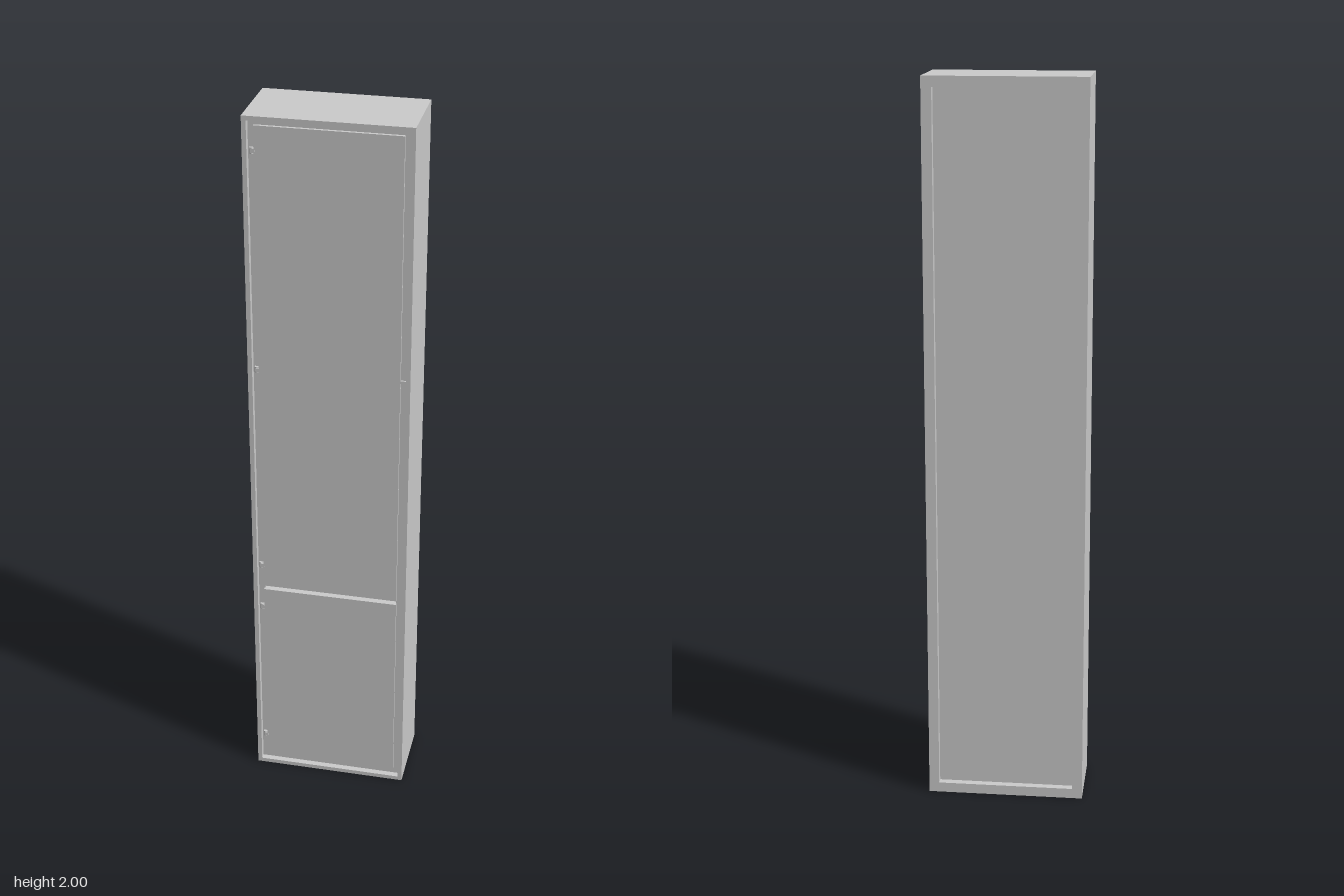
import * as THREE from 'three';

const W = 0.434, H = 2, D = 0.217;
const mat = new THREE.MeshStandardMaterial({ color: 0xcccccc, flatShading: true });

export function createModel() {
  const group = new THREE.Group();

  const add = (name, geometry, x, y, z) => {
    const mesh = new THREE.Mesh(geometry, mat);
    mesh.name = name;
    mesh.position.set(x, y, z);
    group.add(mesh);
    return mesh;
  };
  const box = (name, w, h, d, x, y, z) => add(name, new THREE.BoxGeometry(w, h, d), x, y, z);

  // Rectangular ring around the cabinet axis, between z0 and z1
  const rect = (Type, w, h) => new Type([
    new THREE.Vector2(-w / 2, -h / 2), new THREE.Vector2(w / 2, -h / 2),
    new THREE.Vector2(w / 2, h / 2), new THREE.Vector2(-w / 2, h / 2),
  ]);
  const ring = (name, w, h, border, z0, z1) => {
    const shape = rect(THREE.Shape, w, h);
    shape.holes.push(rect(THREE.Path, w - 2 * border, h - 2 * border));
    add(name, new THREE.ExtrudeGeometry(shape, { depth: z1 - z0, bevelEnabled: false }), 0, H / 2, z0);
  };

  // Carcass: outer shell, recessed front frame and rear rim
  ring('outerShell', W, H, 0.012, -D / 2, D / 2);
  ring('frontFrame', W - 0.024, H - 0.024, 0.018, 0.07, 0.092);
  ring('rearRim', W - 0.024, H - 0.024, 0.016, -D / 2, -0.088);
  box('backPanel', W - 0.024, H - 0.024, 0.008, 0, H / 2, -0.084);
  box('divider', W - 0.024, 0.03, 0.16, 0, 0.618, 0);

  // Two doors, one above the other
  const door = (name, y0, y1) => box(name, 0.378, y1 - y0, 0.02, 0, (y0 + y1) / 2, 0.09);
  door('upperDoor', 0.625, 1.974);
  door('lowerDoor', 0.03, 0.613);

  // Hinge knuckles on the right side of the doors
  for (const y of [1.908, 1.304, 0.692, 0.553, 0.098]) {
    add('hinge', new THREE.CylinderGeometry(0.006, 0.006, 0.016, 12), -0.196, y, 0.094);
    box('hingeLeaf', 0.012, 0.01, 0.003, -0.193, y, 0.099);
  }

  // Latch on the opposite edge
  box('latch', 0.014, 0.007, 0.006, 0.196, 1.307, 0.094);

  // Fixings along the top and bottom of the rear rim
  for (const y of [0.014, H - 0.014]) {
    for (let i = 0; i < 8; i++) {
      const fixing = add('rearFixing', new THREE.CylinderGeometry(0.003, 0.003, 0.004, 10),
        -0.175 + i * 0.05, y, -D / 2 + 0.0019);
      fixing.rotation.x = Math.PI / 2;
    }
  }
  return group;
}
